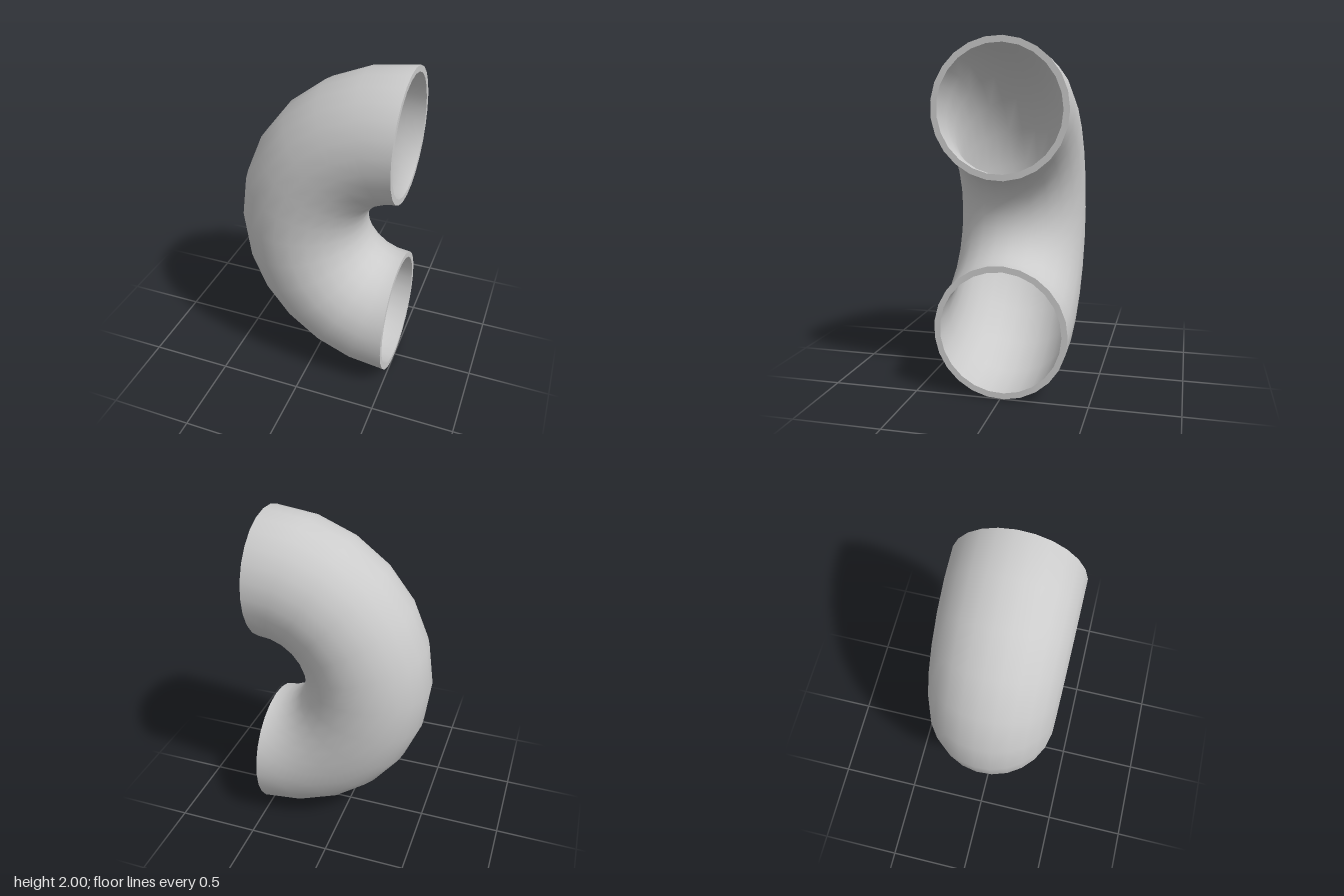
import * as THREE from 'three';
import { ParametricGeometry } from 'three/addons/geometries/ParametricGeometry.js';

const BEND = 0.617;   // radius of the bend's centre line
const OUTER = 0.3837; // outer pipe radius
const INNER = 0.349;  // bore radius
const SIDES = 25;
const STEPS = 12;

// Half-torus wall; dir = 1 faces outwards, -1 faces into the bore
function bentWall(radius, dir) {
  return new ParametricGeometry((u, v, p) => {
    const t = Math.PI * u;
    const a = -Math.PI / 2 + dir * 2 * Math.PI * v;
    const rho = BEND + radius * Math.cos(a);
    p.set(-rho * Math.sin(t), rho * Math.cos(t), radius * Math.sin(a));
  }, STEPS, SIDES);
}

export function createModel() {
  const group = new THREE.Group();
  group.name = 'pipeBend';
  const material = new THREE.MeshStandardMaterial({ color: 0xcccccc });

  const add = (name, geometry, y = 0) => {
    const mesh = new THREE.Mesh(geometry, material);
    mesh.name = name;
    mesh.position.set(0.5, 1 + y, 0.0015);
    group.add(mesh);
  };

  // Outer skin and bore
  add('outerWall', bentWall(OUTER, 1));
  add('innerWall', bentWall(INNER, -1));

  // Flat annular rims closing the wall at both open ends
  const rim = new THREE.RingGeometry(INNER, OUTER, SIDES).rotateY(Math.PI / 2);
  add('upperRim', rim, BEND);
  add('lowerRim', rim, -BEND);

  return group;
}
